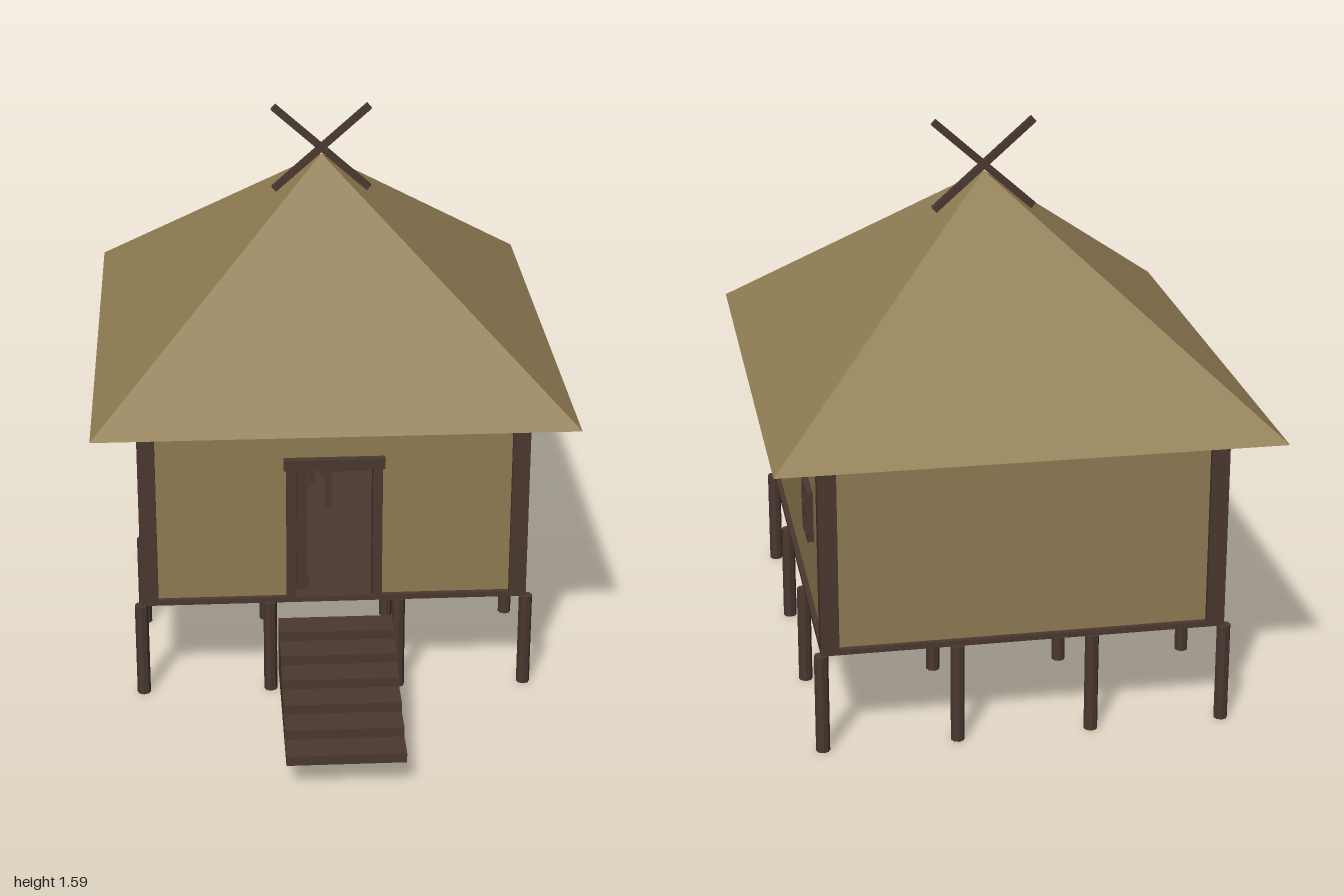
import * as THREE from 'three';

const timber = new THREE.MeshStandardMaterial({ color: 0x4a3830 });
timber.name = 'dark timber';
const straw = new THREE.MeshStandardMaterial({ color: 0x917d54 });
straw.name = 'straw';
const clay = new THREE.MeshStandardMaterial({ color: 0x907b52 });
clay.name = 'woven wall';

const ZC = -0.218;            // middle of the house in z
const HX = 0.56, HZ = 0.656;  // half size of the house frame
const FLOOR = 0.3, EAVES = 0.86;

function add(parent, name, geometry, material, x = 0, y = 0, z = 0) {
  const mesh = new THREE.Mesh(geometry, material);
  mesh.name = name;
  mesh.position.set(x, y, z);
  parent.add(mesh);
  return mesh;
}

// box given by its limits on each axis
function box(parent, name, material, x0, x1, y0, y1, z0, z1) {
  return add(parent, name, new THREE.BoxGeometry(x1 - x0, y1 - y0, z1 - z0), material,
    (x0 + x1) / 2, (y0 + y1) / 2, (z0 + z1) / 2);
}

function faceted(geometry) {
  const g = geometry.toNonIndexed();
  g.computeVertexNormals();
  return g;
}

function group(parent, name) {
  const g = new THREE.Group();
  g.name = name;
  parent.add(g);
  return g;
}

export function createModel() {
  const hut = new THREE.Group();
  hut.name = 'stiltHut';

  // four by four grid of stilts
  const stilts = group(hut, 'stilts');
  const stiltGeo = faceted(new THREE.CylinderGeometry(0.0195, 0.0195, 0.286, 8));
  for (const x of [-0.56, -0.187, 0.187, 0.56])
    for (const z of [0.435, 0, -0.435, -0.87]) add(stilts, 'stilt', stiltGeo, timber, x, 0.143, z);

  // floor, corner posts and top beams
  const frame = group(hut, 'frame');
  const zF = ZC + HZ, zB = ZC - HZ;
  box(frame, 'floor', timber, -HX, HX, 0.284, FLOOR, zB, zF);
  for (const s of [-1, 1]) {
    for (const t of [-1, 1])
      add(frame, 'cornerPost', new THREE.BoxGeometry(0.05, EAVES - FLOOR, 0.05), timber,
        s * (HX - 0.025), (EAVES + FLOOR) / 2, ZC + t * (HZ - 0.025));
    add(frame, 'sideBeam', new THREE.BoxGeometry(0.04, 0.03, 2 * HZ - 0.1), timber, s * (HX - 0.02), 0.844, ZC);
    add(frame, 'endBeam', new THREE.BoxGeometry(2 * HX - 0.1, 0.03, 0.04), timber, 0, 0.844, ZC + s * (HZ - 0.02));
  }

  // walls, the front one with a doorway
  const walls = group(hut, 'walls');
  const inset = 0.015, thick = 0.02, top = 0.83;
  for (const s of [-1, 1])
    add(walls, 'sideWall', new THREE.BoxGeometry(thick, top - FLOOR, 2 * HZ - 0.1), clay,
      s * (HX - inset - thick / 2), (top + FLOOR) / 2, ZC);
  box(walls, 'backWall', clay, -HX + 0.05, HX - 0.05, FLOOR, top, zB + inset, zB + inset + thick);
  const front = new THREE.Shape([
    [-0.51, FLOOR], [-0.12, FLOOR], [-0.12, 0.715], [0.12, 0.715],
    [0.12, FLOOR], [0.51, FLOOR], [0.51, top], [-0.51, top],
  ].map(([x, y]) => new THREE.Vector2(x, y)));
  add(walls, 'frontWall', new THREE.ExtrudeGeometry(front, { depth: thick, bevelEnabled: false }), clay,
    0, 0, zF - inset - thick);

  // door frame and the door, swung inwards
  const doorway = group(hut, 'doorway');
  for (const s of [-1, 1])
    add(doorway, 'doorJamb', new THREE.BoxGeometry(0.028, 0.41, 0.05), timber, s * 0.124, 0.505, zF - 0.02);
  box(doorway, 'lintel', timber, -0.145, 0.145, 0.707, 0.738, zF - 0.045, zF + 0.008);
  box(doorway, 'door', timber, -0.107, -0.077, 0.303, 0.695, zF - 0.245, zF - 0.04);
  for (const y of [0.325, 0.635]) box(doorway, 'doorBatten', timber, -0.077, -0.07, y - 0.012, y + 0.012, zF - 0.235, zF - 0.05);

  // furniture inside
  const furniture = group(hut, 'furniture');
  box(furniture, 'tableTop', timber, 0, 0.36, 0.43, 0.444, -0.42, -0.14);
  for (const x of [0.018, 0.342])
    for (const z of [-0.4, -0.16]) box(furniture, 'tableLeg', timber, x - 0.009, x + 0.009, FLOOR, 0.43, z - 0.009, z + 0.009);
  box(furniture, 'chest', timber, -0.2, -0.015, FLOOR, 0.383, -0.5, -0.34);

  // two windows on each side: pane, frame and crossbars
  for (const s of [-1, 1])
    for (const z of [0.105, -0.545]) {
      const win = group(hut, 'window');
      win.position.set(s * (HX - inset), 0.578, z);
      const bar = (name, h, w, y, dz) =>
        add(win, name, new THREE.BoxGeometry(0.018, h, w), timber, s * 0.009, y, dz);
      add(win, 'pane', new THREE.BoxGeometry(0.008, 0.146, 0.13), timber, s * 0.003, 0, 0);
      for (const t of [-1, 1]) {
        bar('windowJamb', 0.146, 0.01, 0, t * 0.06);
        bar('windowRail', 0.01, 0.11, t * 0.068, 0);
      }
      bar('mullion', 0.126, 0.01, 0, 0);
      bar('crossbar', 0.01, 0.11, 0, 0);
    }

  // pyramid roof
  const roofGeo = new THREE.ConeGeometry(Math.SQRT1_2, 1, 4);
  roofGeo.rotateY(Math.PI / 4);
  roofGeo.scale(1.37, 1.437 - EAVES, 1.56);
  add(hut, 'roof', faceted(roofGeo), straw, 0, (1.437 + EAVES) / 2, -0.22);

  // crossed poles on the peak
  for (const s of [-1, 1]) {
    const pole = add(hut, 'ridgePole', new THREE.BoxGeometry(0.382, 0.02, 0.018), timber, 0, 1.456, -0.222);
    pole.rotation.z = s * 0.725;
  }

  // solid flight of six steps
  const rise = 0.0283, run = 0.0883;
  const steps = new THREE.Shape();
  steps.moveTo(0.47, 0.08);
  steps.lineTo(1, 0.08);
  for (let i = 0; i < 6; i++) {
    steps.lineTo(1 - i * run, 0.08 + (i + 1) * rise);
    steps.lineTo(1 - (i + 1) * run, 0.08 + (i + 1) * rise);
  }
  const stairGeo = new THREE.ExtrudeGeometry(steps, { depth: 0.33, bevelEnabled: false });
  stairGeo.rotateY(-Math.PI / 2);
  add(hut, 'stairs', stairGeo, timber, 0.165, 0, 0);

  return hut;
}
